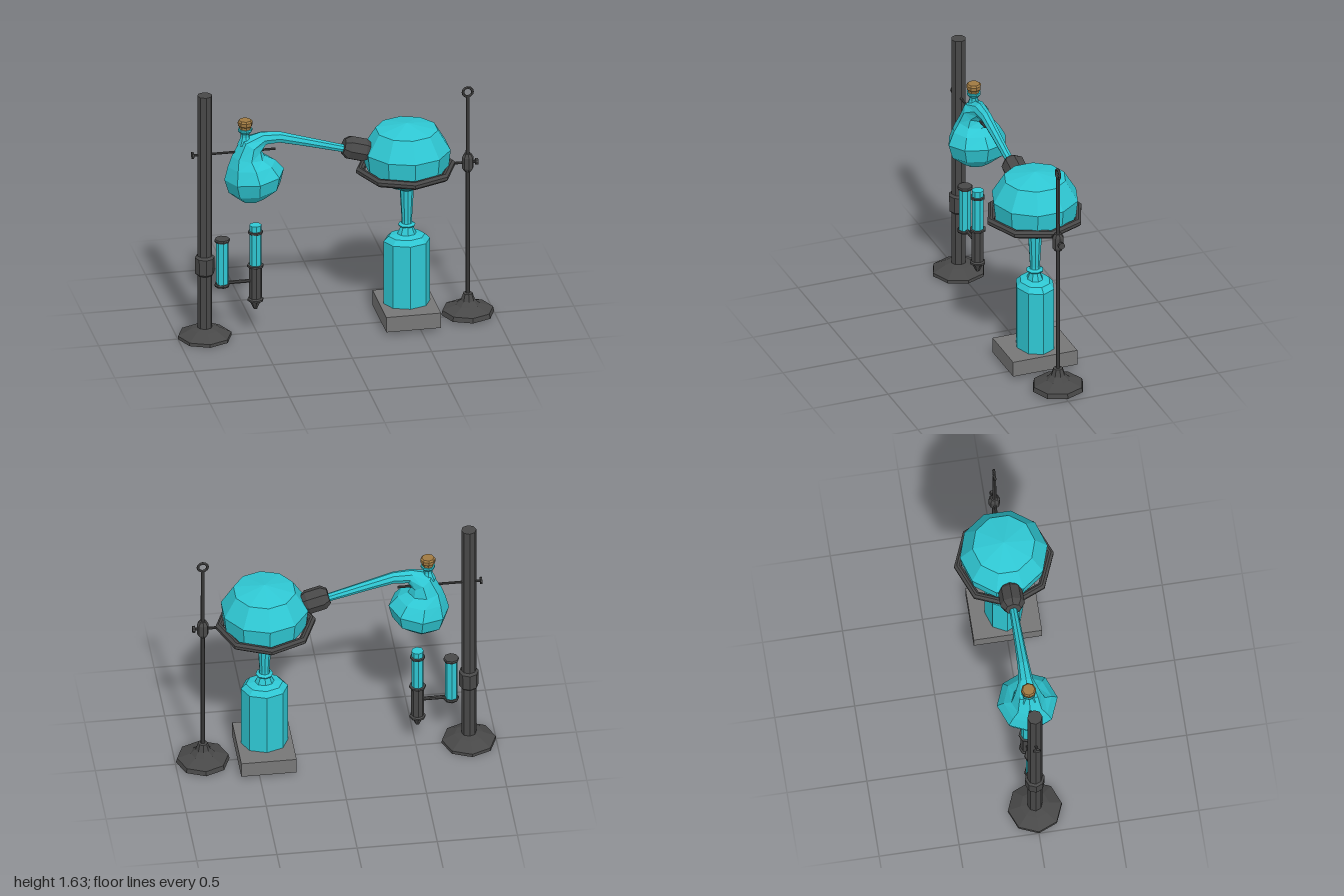
import * as THREE from 'three';

const mat = (color) => new THREE.MeshStandardMaterial({ color, flatShading: true, side: THREE.DoubleSide });

export function createModel() {
  const root = new THREE.Group();
  const glass = mat(0x2fc8d4), iron = mat(0x484848), cork = mat(0xa07a42), stone = mat(0x777777);

  const add = (name, geo, material, x = 0, y = 0, z = 0) => {
    const m = new THREE.Mesh(geo, material);
    m.name = name;
    m.position.set(x, y, z);
    root.add(m);
    return m;
  };
  // Turned part from [radius, height] pairs, bottom to top
  const turned = (name, profile, material, x, y = 0, sides = 8) =>
    add(name, new THREE.LatheGeometry(profile.map(([r, h]) => new THREE.Vector2(r, h)), sides), material, x, y);
  // Horizontal rod along x
  const rod = (name, x0, x1, y, r) => {
    const m = add(name, new THREE.CylinderGeometry(r, r, x1 - x0, 8), iron, (x0 + x1) / 2, y);
    m.rotation.z = Math.PI / 2;
    return m;
  };
  // Skin over round sections [x, y, radius, direction in degrees] lying in the xy plane
  const loft = (sections, sides) => {
    const pos = [], idx = [];
    sections.forEach(([x, y, r, deg], i) => {
      const a = THREE.MathUtils.degToRad(deg);
      for (let j = 0; j < sides; j++) {
        const t = (j / sides) * Math.PI * 2, u = r * Math.cos(t);
        pos.push(x - Math.sin(a) * u, y + Math.cos(a) * u, r * Math.sin(t));
        if (i === 0) continue;
        const k = (j + 1) % sides, p = (i - 1) * sides, q = i * sides;
        idx.push(p + j, p + k, q + k, p + j, q + k, q + j);
      }
    });
    const g = new THREE.BufferGeometry();
    g.setAttribute('position', new THREE.Float32BufferAttribute(pos, 3));
    g.setIndex(idx);
    g.computeVertexNormals();
    return g;
  };

  // Tall stand on the right-hand side of the model
  const px = -0.83;
  turned('poleBase', [[0, 0], [0.17, 0], [0.168, 0.02], [0.09, 0.06], [0.05, 0.07], [0, 0.07]], iron, px);
  turned('pole', [[0.047, 0.05], [0.047, 1.635], [0, 1.635]], iron, px);
  turned('poleCollar', [[0.045, 0.42], [0.06, 0.435], [0.062, 0.54], [0.045, 0.555]], iron, px);
  rod('retortRod', -0.9, -0.385, 1.235, 0.008);
  rod('retortRodKnob', -0.912, -0.9, 1.235, 0.023);

  // Burner: reservoir tube, pipe and nozzle tube
  turned('reservoirTube', [[0.04, 0.345], [0.04, 0.64]], glass, -0.72);
  for (const y of [0.335, 0.635])
    turned('reservoirCap', [[0, 0], [0.046, 0], [0.05, 0.01], [0.046, 0.02], [0, 0.02]], iron, -0.72, y);
  rod('burnerPipe', -0.76, -0.51, 0.355, 0.012);
  turned('nozzle', [[0, 0.16], [0.012, 0.165], [0.035, 0.215], [0.05, 0.22], [0.05, 0.232], [0.04, 0.24],
    [0.04, 0.445], [0.052, 0.45], [0.052, 0.462], [0, 0.465]], iron, -0.51);
  turned('nozzleTube', [[0.038, 0.46], [0.038, 0.73], [0, 0.73]], glass, -0.51);
  turned('nozzleTubeBand', [[0.038, 0.672], [0.047, 0.675], [0.047, 0.688], [0.038, 0.691]], iron, -0.51);

  // Retort: round bulb drawn out into a bent, tapering neck
  add('retort', loft([
    [-0.53, 0.905, 0.001, 98], [-0.525, 0.915, 0.08, 98], [-0.515, 0.985, 0.165, 98],
    [-0.518, 1.075, 0.19, 97], [-0.535, 1.15, 0.15, 94], [-0.555, 1.2, 0.105, 85],
    [-0.535, 1.275, 0.08, 55], [-0.46, 1.313, 0.045, 18], [-0.36, 1.312, 0.037, -5],
    [-0.2, 1.268, 0.031, -16], [0.07, 1.192, 0.025, -16],
  ], 8), glass);
  turned('retortSpout', [[0.05, 1.285], [0.028, 1.335], [0.028, 1.355], [0.045, 1.375], [0.045, 1.388], [0, 1.388]],
    glass, -0.575);
  turned('cork', [[0, 1.385], [0.036, 1.385], [0.038, 1.405], [0.046, 1.412], [0.047, 1.435], [0.038, 1.446], [0, 1.446]],
    cork, -0.575);

  // Joint sleeve, tilted along the retort neck
  const sleeve = turned('jointSleeve', [[0, -0.085], [0.05, -0.085], [0.076, -0.05], [0.076, 0.05], [0.055, 0.085], [0, 0.085]],
    iron, 0.127, 1.19);
  sleeve.rotation.z = THREE.MathUtils.degToRad(-106);

  // Large receiver flask with its downward neck
  const fx = 0.445;
  turned('receiverFlask', [[0.034, 0.64], [0.032, 0.68], [0.044, 0.89], [0.06, 0.905], [0.1, 0.92], [0.19, 0.965],
    [0.26, 1.04], [0.274, 1.165], [0.195, 1.295], [0, 1.335]], glass, fx, 0, 10);

  // Collecting bottle, slightly flattened front to back, on its block
  const bottle = turned('bottle', [[0, 0.12], [0.147, 0.12], [0.147, 0.545], [0.115, 0.578], [0.06, 0.59],
    [0.04, 0.635], [0.036, 0.65]], glass, fx);
  bottle.scale.z = 0.82;
  turned('bottleLip', [[0.034, 0.64], [0.052, 0.644], [0.055, 0.652], [0.034, 0.662]], glass, fx);
  add('block', new THREE.BoxGeometry(0.345, 0.1, 0.427), stone, fx, 0.075);

  // Octagonal support ring held by a clamp on the thin stand
  turned('supportRing', [[0.265, 1.022], [0.28, 1.01], [0.295, 1.01], [0.312, 1.025], [0.312, 1.045], [0.295, 1.06],
    [0.28, 1.06], [0.265, 1.048], [0.265, 1.022]], iron, 0.438);
  const sx = 0.83;
  rod('ringArm', 0.735, 0.885, 1.035, 0.009);
  rod('clampKnob', 0.878, 0.895, 1.035, 0.022);
  turned('clamp', [[0, 0.975], [0.022, 0.975], [0.036, 0.998], [0.036, 1.07], [0.022, 1.094], [0, 1.094]], iron, sx);

  // Thin stand with a finger ring on top
  turned('thinStandBase', [[0, 0.015], [0.167, 0.015], [0.16, 0.045], [0.075, 0.075], [0.045, 0.105], [0.03, 0.15], [0, 0.155]],
    iron, sx);
  turned('thinRod', [[0.014, 0.12], [0.012, 1.48], [0, 1.48]], iron, sx);
  add('fingerRing', new THREE.TorusGeometry(0.03, 0.009, 6, 12), iron, sx, 1.51);

  return root;
}
